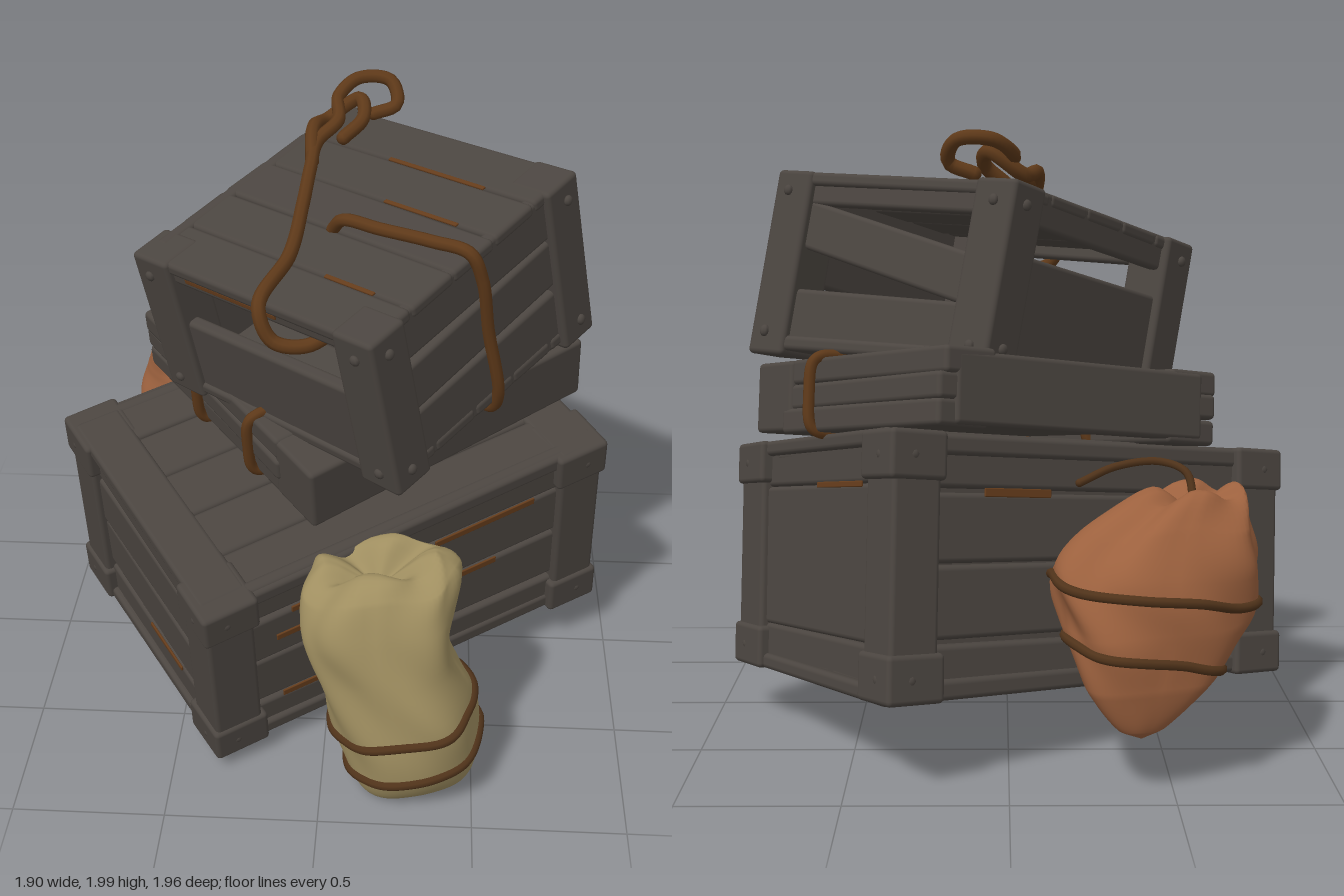
import * as THREE from 'three';
import { RoundedBoxGeometry } from 'three/addons/geometries/RoundedBoxGeometry.js';
import { ParametricGeometry } from 'three/addons/geometries/ParametricGeometry.js';

const material = (name, color) => {
  const m = new THREE.MeshStandardMaterial({ color });
  m.name = name;
  return m;
};

export function createModel() {
  const wood = material('dark wood', 0x4b4540);
  const seam = material('rusty seam', 0x653c1b);
  const rope = material('rope', 0x5e3919);
  const strap = material('leather strap', 0x50331a);
  const tan = material('tan cloth', 0x9f8e60);
  const terracotta = material('terracotta cloth', 0x9c613e);

  let seed = 7;
  const jitter = (a) => {
    seed = (seed * 16807) % 2147483647;
    return (seed / 2147483647 - 0.5) * 2 * a;
  };

  const root = new THREE.Group();
  root.name = 'crateStack';

  const add = (parent, name, geometry, mat) => {
    const m = new THREE.Mesh(geometry, mat);
    m.name = name;
    parent.add(m);
    return m;
  };
  const plank = (parent, name, size, pos, wobble = 0.006, mat = wood) => {
    const r = Math.min(0.016, Math.min(...size) * 0.4);
    const m = add(parent, name, new RoundedBoxGeometry(...size, 2, r), mat);
    m.position.set(...pos);
    m.rotation.set(jitter(wobble), jitter(wobble), jitter(wobble));
    return m;
  };
  const tube = (parent, name, pts, r, mat, closed = false) => {
    const curve = new THREE.CatmullRomCurve3(pts.map((p) => new THREE.Vector3(...p)), closed);
    const m = add(parent, name, new THREE.TubeGeometry(curve, pts.length * 8, r, 8, closed), mat);
    if (!closed) [pts[0], pts[pts.length - 1]].forEach((p) =>
      add(parent, name + 'End', new THREE.SphereGeometry(r, 8, 6), mat).position.set(...p));
    return m;
  };
  // Group turned by yaw, then tipped so that its top points along up
  const tilted = (name, pos, up, yaw) => {
    const g = new THREE.Group();
    g.name = name;
    g.position.set(...pos);
    const tip = new THREE.Quaternion().setFromUnitVectors(
      new THREE.Vector3(0, 1, 0), new THREE.Vector3(...up).normalize());
    g.quaternion.copy(tip).multiply(
      new THREE.Quaternion().setFromAxisAngle(new THREE.Vector3(0, 1, 0), yaw));
    root.add(g);
    return g;
  };

  // Sagging: bake every part into the group's frame and change its heights by a rule
  const sag = (g, rule) => {
    g.updateMatrixWorld(true);
    const toGroup = g.matrixWorld.clone().invert();
    g.traverse((o) => {
      if (!o.isMesh) return;
      o.geometry.applyMatrix4(toGroup.clone().multiply(o.matrixWorld));
      const p = o.geometry.attributes.position;
      for (let i = 0; i < p.count; i++) p.setY(i, rule(p.getX(i), p.getY(i), p.getZ(i)));
    });
    g.traverse((o) => {
      if (o === g) return;
      o.position.set(0, 0, 0);
      o.rotation.set(0, 0, 0);
      o.scale.set(1, 1, 1);
    });
  };

  // Posts, nails and slats; faces run +z, +x, -z, -x with slats [y, height, roll]
  const crateSides = (g, L, H, W, post, faces) => {
    for (const sx of [-1, 1]) for (const sz of [-1, 1]) {
      plank(g, 'cornerPost', [post, H, post],
        [sx * (L - post) / 2, 0, sz * (W - post) / 2], 0.01);
    }
    faces.forEach((slats, i) => {
      const face = new THREE.Group();
      face.name = 'side';
      face.rotation.y = i * Math.PI / 2;
      g.add(face);
      const w = i % 2 ? W : L, half = (i % 2 ? L : W) / 2;
      for (const [y, h, roll = 0] of slats) {
        plank(face, 'sideSlat', [w - post, h, 0.05], [0, y, half - 0.05], 0.008).rotation.z += roll;
      }
      for (const sx of [-1, 1]) for (const sy of [-1, 1]) {
        const nail = add(face, 'nail', new THREE.SphereGeometry(0.018, 8, 6), wood);
        nail.position.set(sx * (w / 2 - 0.07), sy * (H / 2 - 0.07), half + 0.004);
        nail.scale.z = 0.7;
      }
    });
  };

  // Large bottom crate
  const L = 1.53, H = 0.76, W = 1.07;
  const big = tilted('bottomCrate', [0, 0.55, -0.03], [-0.015, 0.985, 0.18], 0.575);
  const wall = [[-0.3, 0.15], [-0.1, 0.21], [0.11, 0.2], [0.3, 0.16]];
  crateSides(big, L, H, W, 0.17, [wall, [[-0.3, 0.14], [0, 0.46], [0.3, 0.14]], wall, wall]);
  plank(big, 'crateCore', [L - 0.16, H - 0.12, W - 0.16], [0, 0, 0], 0);
  for (const sx of [-1, 1]) for (const sy of [-1, 1]) for (const sz of [-1, 1]) {
    plank(big, 'cornerBlock', [0.2, 0.14, 0.2],
      [sx * (L / 2 - 0.087), sy * (H / 2 - 0.07), sz * (W / 2 - 0.087)], 0.02);
  }
  for (const sy of [-1, 1]) {
    for (let i = 0; i < 5; i++) {
      plank(big, 'lidPlank', [L - 0.05, 0.06, W / 5 - 0.006],
        [0, sy * (H / 2 - 0.035), (i - 2) * (W - 0.02) / 5]);
    }
    for (const sx of [-1, 1]) {
      plank(big, 'lidBatten', [0.17, 0.05, W - 0.1], [sx * (L / 2 - 0.09), sy * (H / 2 - 0.022), 0]);
    }
  }
  // Rusty seams [side, x, y, length] on the long walls and [side, z, y, length] on the ends
  for (const [s, x, y, len] of [[1, -0.4, 0.1, 0.22], [1, 0.3, 0.21, 0.4], [1, -0.3, 0.21, 0.3],
    [1, 0.2, 0, 0.3], [1, -0.35, -0.21, 0.3], [-1, 0.3, 0.21, 0.25], [-1, -0.2, -0.21, 0.25]]) {
    plank(big, 'seamStrip', [len, 0.026, 0.008], [x, y, s * (W / 2 - 0.023)], 0, seam);
  }
  for (const [s, z, y, len] of [[1, -0.15, 0.23, 0.3], [-1, 0.1, -0.23, 0.25]]) {
    plank(big, 'seamStrip', [0.008, 0.018, len], [s * (L / 2 - 0.023), y, z], 0, seam);
  }
  sag(big, (x, y, z) => y * (1 - 0.1 * (z * 0.84 - x * 0.54) / 0.85));

  // Bundle of boards resting on the bottom crate
  const pile = tilted('boardPile', [0.08, 1.11, -0.19], [-0.03, 0.98, 0.2], 0.654);
  plank(pile, 'frontBoard', [1.12, 0.235, 0.22], [0, 0, 0.42]);
  plank(pile, 'backBoard', [1.0, 0.22, 0.08], [0, 0, -0.49]);
  plank(pile, 'innerFill', [0.94, 0.16, 0.95], [0, -0.01, 0], 0);
  for (let i = 0; i < 5; i++) {
    plank(pile, 'flatBoard', [0.17, 0.05, 0.9], [(i - 2) * 0.17, 0.085, -0.05], 0.01);
  }
  for (const sx of [-1, 1]) for (let i = 0; i < 3; i++) {
    plank(pile, 'stackedBoard', [0.2 + jitter(0.012), 0.083, 0.87 + jitter(0.02)],
      [sx * (0.46 + jitter(0.01)), (i - 1) * 0.08, -0.09 + jitter(0.012)], 0.012);
  }
  for (const [x, z] of [[0.46, 0.15], [-0.46, -0.14], [-0.46, 0.19]]) {
    const ring = [];
    for (let i = 0; i < 16; i++) {
      const c = Math.cos(i * Math.PI / 8), s = Math.sin(i * Math.PI / 8);
      ring.push([x + 0.12 * Math.sign(c) * Math.abs(c) ** 0.4,
        0.128 * Math.sign(s) * Math.abs(s) ** 0.4, z + 0.015 * c]);
    }
    tube(pile, 'pileBinding', ring, 0.019, rope, true);
  }
  for (const [x, z] of [[-0.2, 0.3], [-0.1, 0.2]]) {
    plank(pile, 'seamStrip', [0.3, 0.008, 0.025], [x, 0.115, z], 0, seam);
  }

  // Slatted crate on top
  const S = 1.03, T = 0.59;
  const top = tilted('topCrate', [0.11, 1.465, 0.01], [-0.165, 0.97, 0.165], 0.887);
  crateSides(top, S, T, S, 0.16, [
    [[0.2, 0.17], [0.015, 0.17, 0.03], [-0.18, 0.2]],
    [[0.235, 0.1], [0.05, 0.16, -0.18], [-0.18, 0.18]],
    [[0.235, 0.12], [-0.085, 0.34]],
    [[0.245, 0.08], [-0.11, 0.31]],
  ]);
  for (let i = 0; i < 5; i++) {
    const x = (i - 2) * 0.202;
    plank(top, 'topPlank', [0.199, 0.045, 0.99], [x, T / 2 - 0.026, 0], 0.006);
    plank(top, 'floorPlank', [0.199, 0.045, 0.99], [x, -T / 2 + 0.04, 0]);
  }
  for (const [x, z, len] of [[-0.303, 0.25, 0.2], [0.101, 0.2, 0.3], [0.303, 0.1, 0.4]]) {
    plank(top, 'seamStrip', [0.016, 0.008, len], [x, T / 2 - 0.004, z], 0, seam);
  }
  plank(top, 'seamStrip', [0.008, 0.018, 0.4], [-S / 2 + 0.022, 0.24, -0.1], 0, seam);
  sag(top, (x, y, z) => (y < 0 ? y * (1 + 0.13 * (x * 0.63 + z * 0.775) / 0.7) : y));

  // Ropes and knot over the top crate
  tube(top, 'longRope', [[-0.4, 0.2, 0.27], [-0.49, 0.17, 0.21], [-0.55, 0.2, 0.13], [-0.53, 0.3, 0.08],
    [-0.3, 0.315, 0], [-0.06, 0.315, -0.16], [0.1, 0.325, -0.27], [0.22, 0.345, -0.34], [0.32, 0.37, -0.33],
    [0.42, 0.39, -0.41], [0.52, 0.41, -0.4], [0.58, 0.39, -0.31], [0.54, 0.33, -0.26], [0.48, 0.31, -0.32]], 0.023, rope);
  tube(top, 'knotRope', [[0.14, 0.32, -0.3], [0.25, 0.37, -0.38], [0.35, 0.34, -0.41],
    [0.44, 0.39, -0.33], [0.38, 0.36, -0.27], [0.3, 0.32, -0.3]], 0.024, rope);
  tube(top, 'sideRope', [[-0.1, 0.29, 0], [-0.1, 0.345, 0.06], [-0.07, 0.33, 0.18], [-0.03, 0.315, 0.36],
    [-0.01, 0.3, 0.49], [0, 0.2, 0.515], [0, 0, 0.508], [0, -0.25, 0.51], [0, -0.325, 0.47], [0, -0.32, 0.38]], 0.021, rope);

  // Soft sack lofted through sections [x, y, z, rx, rz]
  const sack = (name, sections, yaw, slope, mat, bands) => {
    const g = new THREE.Group();
    g.name = name;
    root.add(g);
    const axis = new THREE.CatmullRomCurve3(sections.map((s) => new THREE.Vector3(s[0], s[1], s[2])));
    const radii = new THREE.CatmullRomCurve3(sections.map((s) => new THREE.Vector3(s[3], s[4], 0)));
    const surface = (t, a) => {
      const p = axis.getPoint(t), r = radii.getPoint(t);
      const c = Math.cos(a), s = Math.sin(a);
      const fold = 1 + 0.06 * t * Math.sin(6 * a + 4 * Math.sin(t * 7)) + 0.035 * Math.sin(3 * a + t * 11);
      const x = Math.sign(c) * Math.abs(c) ** 0.8 * Math.abs(r.x) * fold;
      const z = Math.sign(s) * Math.abs(s) ** 0.8 * Math.abs(r.y) * fold;
      p.x += x * Math.cos(yaw) + z * Math.sin(yaw);
      p.z += z * Math.cos(yaw) - x * Math.sin(yaw);
      p.y += x * slope + t * t * 0.03 * Math.sin(4 * a + 1) * Math.min(1, r.x * 8);
      return p;
    };
    add(g, 'cloth', new ParametricGeometry(
      (u, v, out) => out.copy(surface(v, -u * Math.PI * 2)), 64, 48), mat);
    for (const [t, lean] of bands) {
      const ring = [];
      for (let i = 0; i < 40; i++) {
        const a = i * Math.PI / 20;
        ring.push(surface(t + lean * Math.cos(a), a).toArray());
      }
      tube(g, 'strap', ring, 0.016, strap, true);
    }
  };

  sack('tanSack', [
    [0.31, 0.04, 0.74, 0.002, 0.002], [0.31, 0.045, 0.74, 0.18, 0.16], [0.3, 0.14, 0.74, 0.22, 0.21],
    [0.27, 0.3, 0.74, 0.232, 0.22], [0.21, 0.5, 0.74, 0.212, 0.2], [0.18, 0.66, 0.72, 0.24, 0.195],
    [0.18, 0.77, 0.7, 0.245, 0.165], [0.18, 0.825, 0.67, 0.18, 0.11], [0.18, 0.74, 0.69, 0.002, 0.002],
  ], 0, 0.18, tan, [[0.26, 0.005], [0.375, 0.01]]);

  sack('terracottaSack', [
    [-0.4, 0.18, -0.88, 0.002, 0.002], [-0.4, 0.21, -0.87, 0.07, 0.05], [-0.42, 0.34, -0.8, 0.2, 0.15],
    [-0.45, 0.5, -0.74, 0.29, 0.2], [-0.46, 0.66, -0.7, 0.33, 0.2], [-0.5, 0.79, -0.66, 0.26, 0.17],
    [-0.58, 0.89, -0.61, 0.13, 0.09], [-0.57, 0.83, -0.62, 0.002, 0.002],
  ], 0.25, -0.04, terracotta, [[0.36, 0.05], [0.52, 0.05]]);
  tube(root, 'sackTie', [[-0.58, 0.85, -0.6], [-0.56, 0.94, -0.56], [-0.48, 0.97, -0.53],
    [-0.34, 0.96, -0.56], [-0.22, 0.92, -0.63]], 0.013, strap);

  return root;
}
